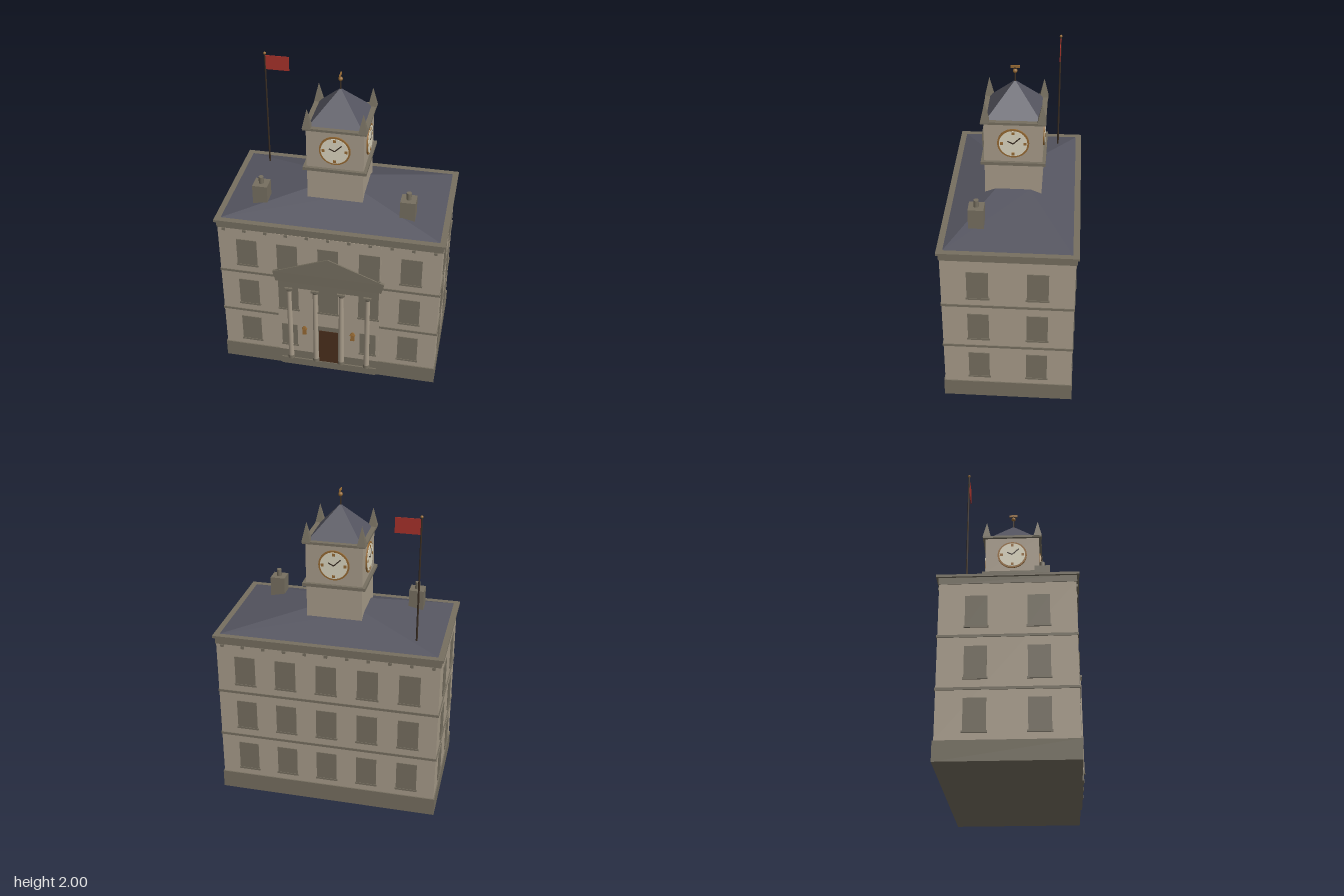
import * as THREE from 'three';

const mat = (name, color) => {
  const m = new THREE.MeshStandardMaterial({ color });
  m.name = name;
  return m;
};

export function createModel() {
  const wall = mat('stone wall', 0xa89c8a);
  const trim = mat('dark stone trim', 0x766f60);
  const slate = mat('slate roof', 0x555560);
  const wood = mat('door wood', 0x4a2f1c);
  const brass = mat('brass', 0x966a34);
  const dial = mat('clock dial', 0xdcd6c0);
  const iron = mat('dark iron', 0x3a2e24);
  const red = mat('flag red', 0xa8322b);

  const model = new THREE.Group();
  model.name = 'clockTowerHall';
  const hall = new THREE.Group();
  hall.name = 'hall';
  hall.position.z = -0.007;
  model.add(hall);

  const add = (parent, name, geo, m, x = 0, y = 0, z = 0) => {
    const mesh = new THREE.Mesh(geo, m);
    mesh.name = name;
    mesh.position.set(x, y, z);
    parent.add(mesh);
    return mesh;
  };
  // box given by its bottom and top heights
  const box = (parent, name, m, w, y0, y1, d, x = 0, z = 0) =>
    add(parent, name, new THREE.BoxGeometry(w, y1 - y0, d), m, x, (y0 + y1) / 2, z);
  const rod = (parent, name, m, r0, r1, y0, y1, x = 0, z = 0, sides = 12) =>
    add(parent, name, new THREE.CylinderGeometry(r1, r0, y1 - y0, sides), m, x, (y0 + y1) / 2, z);
  // box whose top is pulled in to w2 by d2
  const taper = (parent, name, m, w, d, w2, d2, y0, y1, x = 0, z = 0) => {
    const g = new THREE.BoxGeometry(w, y1 - y0, d);
    const p = g.attributes.position;
    for (let i = 0; i < p.count; i++) {
      if (p.getY(i) > 0) p.setXYZ(i, Math.sign(p.getX(i)) * w2 / 2, p.getY(i), Math.sign(p.getZ(i)) * d2 / 2);
    }
    g.computeVertexNormals();
    return add(parent, name, g, m, x, (y0 + y1) / 2, z);
  };

  // main block, string courses and cornice
  box(hall, 'plinth', trim, 1.414, 0, 0.12, 0.816);
  box(hall, 'walls', wall, 1.4, 0.12, 1.08, 0.8);
  box(hall, 'centralBay', wall, 0.665, 0.12, 1.08, 0.02, 0, 0.397);
  for (const y of [0.413, 0.735]) box(hall, 'stringCourse', trim, 1.41, y, y + 0.016, 0.81);
  box(hall, 'frieze', trim, 1.408, 1.08, 1.122, 0.81);
  box(hall, 'cornice', trim, 1.434, 1.122, 1.138, 0.836);
  for (let i = 0; i < 11; i++) {
    for (const s of [-1, 1]) box(hall, 'dentil', trim, 0.02, 1.062, 1.08, 0.012, -0.66 + i * 0.132, s * 0.404);
  }
  taper(hall, 'hipRoof', slate, 1.36, 0.76, 0.34, 0.21, 1.138, 1.25);

  // windows with sills, each facing +z inside its own turned group
  const addWindow = (x, y, z, turn, w = 0.13, h = 0.2) => {
    const g = new THREE.Group();
    g.name = 'window';
    g.position.set(x, y, z);
    g.rotation.y = turn;
    hall.add(g);
    box(g, 'pane', trim, w, 0, h, 0.008);
    box(g, 'sill', trim, w + 0.012, -0.004, 0.008, 0.014);
  };
  [0.165, 0.48, 0.8].forEach((y, floor) => {
    for (let i = -2; i <= 2; i++) {
      const x = i * 0.26;
      addWindow(x, y, -0.401, Math.PI);
      const front = Math.abs(i) < 2 ? 0.406 : 0.401;
      if (floor > 0 || Math.abs(i) === 2) addWindow(x, y, front, 0);
      else if (i !== 0) addWindow(x, y + 0.005, front, 0, 0.105, 0.18);
    }
    for (const s of [-1, 1]) {
      for (const z of [-0.18, 0.18]) addWindow(s * 0.701, y, z, s * Math.PI / 2);
    }
  });

  // entrance
  box(hall, 'doorSurround', trim, 0.15, 0.12, 0.365, 0.008, 0, 0.406);
  box(hall, 'door', wood, 0.128, 0.055, 0.33, 0.008, 0, 0.409);
  box(hall, 'step', trim, 0.64, 0, 0.056, 0.03, 0, 0.402);
  for (const s of [-1, 1]) {
    box(hall, 'lantern', brass, 0.026, 0.283, 0.335, 0.014, s * 0.16, 0.411);
    taper(hall, 'lanternCap', brass, 0.036, 0.016, 0.008, 0.004, 0.328, 0.352, s * 0.16, 0.411);
  }

  // portico
  for (const x of [-0.255, -0.085, 0.085, 0.255]) {
    rod(hall, 'columnBase', trim, 0.023, 0.021, 0.056, 0.08, x, 0.405, 16);
    rod(hall, 'columnShaft', wall, 0.019, 0.016, 0.08, 0.64, x, 0.405, 16);
    rod(hall, 'columnCapital', trim, 0.017, 0.022, 0.64, 0.655, x, 0.405, 16);
    box(hall, 'columnAbacus', trim, 0.05, 0.655, 0.67, 0.044, x, 0.405);
  }
  box(hall, 'architrave', trim, 0.65, 0.67, 0.715, 0.028, 0, 0.4);
  taper(hall, 'entablature', trim, 0.68, 0.03, 0.715, 0.034, 0.715, 0.787, 0, 0.4);
  const gable = new THREE.Shape([[-0.3575, 0.787], [0.3575, 0.787], [0, 0.93]].map(p => new THREE.Vector2(...p)));
  add(hall, 'pediment', new THREE.ExtrudeGeometry(gable, { depth: 0.034, bevelEnabled: false }), trim, 0, 0, 0.383);

  // chimneys
  for (const s of [-1, 1]) {
    box(hall, 'chimney', trim, 0.094, 1.16, 1.305, 0.094, s * 0.46, 0.2);
    rod(hall, 'chimneyPot', trim, 0.016, 0.016, 1.305, 1.35, s * 0.46, 0.2);
  }

  // clock tower
  const tower = new THREE.Group();
  tower.name = 'clockTower';
  hall.add(tower);
  box(tower, 'towerShaft', wall, 0.348, 1.15, 1.43, 0.348);
  box(tower, 'towerBand', trim, 0.392, 1.43, 1.45, 0.392);
  box(tower, 'clockStage', wall, 0.352, 1.45, 1.705, 0.352);
  box(tower, 'towerCornice', trim, 0.386, 1.705, 1.72, 0.386);
  taper(tower, 'spireRoof', slate, 0.325, 0.325, 0.002, 0.002, 1.72, 1.905);
  for (const x of [-0.169, 0.169]) {
    for (const z of [-0.169, 0.169]) taper(tower, 'cornerFinial', trim, 0.054, 0.054, 0.001, 0.001, 1.715, 1.835, x, z);
  }

  // one clock on each side
  for (let k = 0; k < 4; k++) {
    const clock = new THREE.Group();
    clock.name = 'clock';
    clock.rotation.y = k * Math.PI / 2;
    tower.add(clock);
    const face = new THREE.Group();
    face.position.set(0, 1.577, 0.176);
    clock.add(face);
    add(face, 'clockRim', new THREE.CylinderGeometry(0.096, 0.096, 0.008, 32), brass, 0, 0, 0.004).rotation.x = Math.PI / 2;
    add(face, 'clockDial', new THREE.CylinderGeometry(0.085, 0.085, 0.004, 32), dial, 0, 0, 0.0085).rotation.x = Math.PI / 2;
    for (let i = 0; i < 4; i++) {
      const a = i * Math.PI / 2;
      add(face, 'hourMark', new THREE.BoxGeometry(0.018, 0.018, 0.002), brass, 0.07 * Math.sin(a), 0.07 * Math.cos(a), 0.011);
    }
    for (const [angle, len] of [[0.8, 0.06], [-1.1, 0.038]]) {
      const hand = add(face, 'clockHand', new THREE.BoxGeometry(0.007, len, 0.002), iron,
        Math.sin(angle) * len / 2, Math.cos(angle) * len / 2, 0.012);
      hand.rotation.z = -angle;
    }
  }

  // weather vane
  rod(tower, 'vaneRod', iron, 0.005, 0.005, 1.89, 1.99);
  add(tower, 'vaneBall', new THREE.SphereGeometry(0.014, 12, 8), brass, 0, 1.966, 0);
  box(tower, 'vaneArrow', brass, 0.008, 1.985, 2, 0.055);

  // flagpole and flag
  rod(hall, 'flagpole', iron, 0.006, 0.005, 1.14, 1.955, -0.53, -0.258, 8);
  add(hall, 'flagpoleBall', new THREE.SphereGeometry(0.009, 10, 8), brass, -0.53, 1.958, -0.258);
  box(hall, 'flag', red, 0.15, 1.85, 1.945, 0.005, -0.452, -0.258);

  return model;
}
